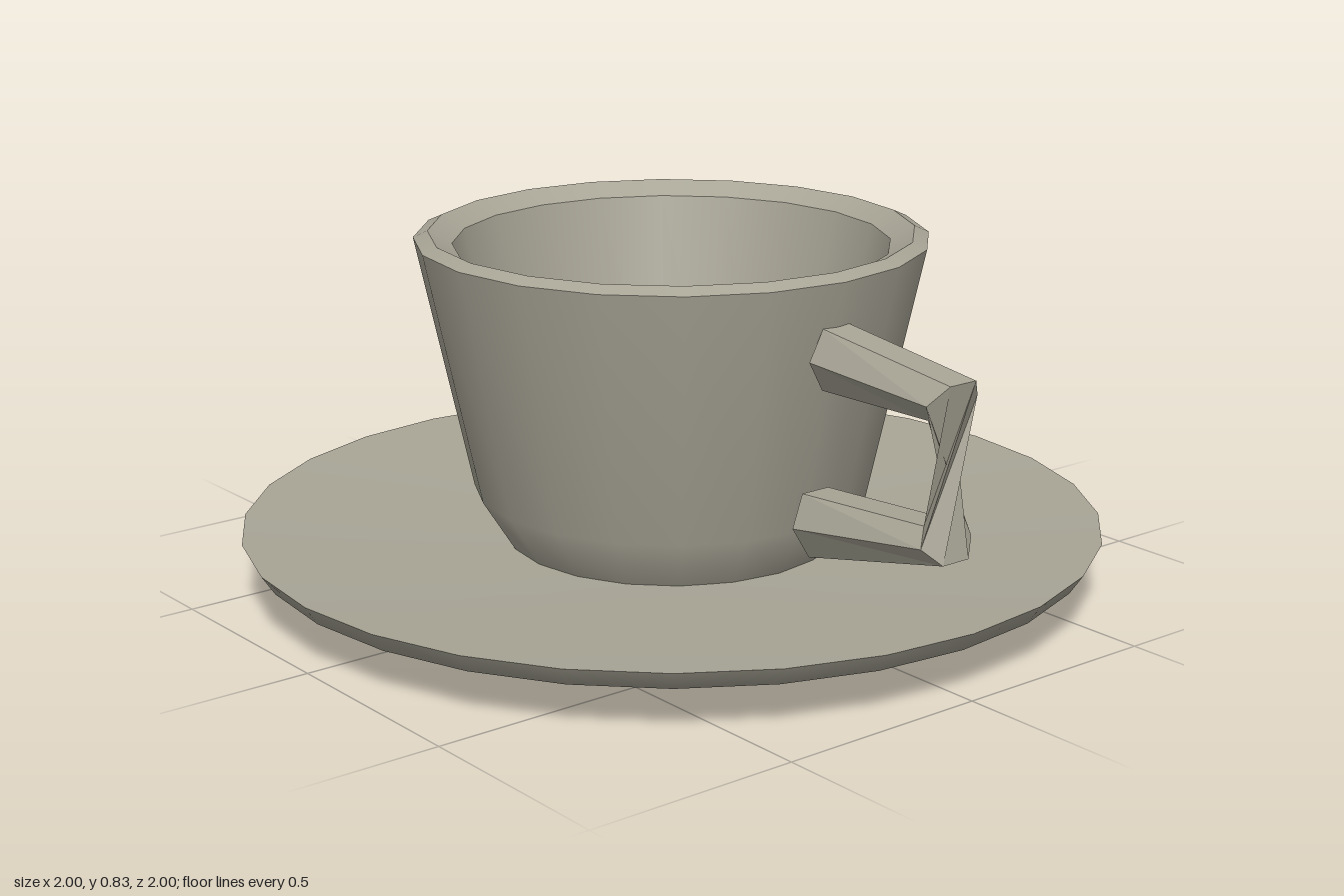
import * as THREE from 'three';

const ceramic = new THREE.MeshStandardMaterial({ color: 0xa8a596 });
ceramic.name = 'warm grey ceramic';

// One smooth lathe per profile piece, so edges between pieces stay sharp
function turned(name, segments, profiles) {
  const group = new THREE.Group();
  group.name = name;
  for (const [part, points] of Object.entries(profiles)) {
    const pts = points.map(([r, y]) => new THREE.Vector2(r, y));
    const mesh = new THREE.Mesh(new THREE.LatheGeometry(pts, segments), ceramic);
    mesh.name = part;
    group.add(mesh);
  }
  return group;
}

// Six-sided handle through four rings, twisted by 120 degrees in the upright
function handleGeometry() {
  const sides = 6;
  // centre x, y; outward direction x, y scaled to half height; half width; twist
  const rings = [
    [0.56, 0.65, 0, 0.068, 0.075, 0],
    [0.915, 0.633, 0.031, 0.043, 0.073, 0],
    [0.91, 0.325, 0.03, -0.036, 0.073, 2],
    [0.513, 0.265, 0.012, -0.07, 0.075, 2],
  ];
  const point = (i, k) => {
    const [x, y, ox, oy, w, twist] = rings[i];
    const a = ((k + twist + 0.5) / sides) * Math.PI * 2;
    const c = Math.cos(a) / Math.cos(Math.PI / sides);
    return [x + ox * c, y + oy * c, w * Math.sin(a)];
  };
  const centre = (i) => [rings[i][0], rings[i][1], 0];
  const out = [];
  const last = rings.length - 1;
  for (let k = 0; k < sides; k++) {
    for (let i = 0; i < last; i++) {
      const a = point(i, k), b = point(i, k + 1);
      const c = point(i + 1, k + 1), d = point(i + 1, k);
      out.push(...a, ...b, ...c, ...a, ...c, ...d);
    }
    // End caps
    out.push(...centre(0), ...point(0, k + 1), ...point(0, k));
    out.push(...centre(last), ...point(last, k), ...point(last, k + 1));
  }
  const geo = new THREE.BufferGeometry();
  geo.setAttribute('position', new THREE.Float32BufferAttribute(out, 3));
  geo.computeVertexNormals();
  return geo;
}

export function createModel() {
  const model = new THREE.Group();
  model.name = 'cupAndSaucer';

  // Shallow dish under the cup
  model.add(turned('saucer', 28, {
    saucerUnderside: [[0, 0], [0.64, 0], [0.97, 0.105], [1, 0.15]],
    saucerTop: [[1, 0.15], [0.38, 0.11], [0, 0.11]],
  }));

  // Tapered cup with a bevelled rim and a flat floor inside
  model.add(turned('cup', 20, {
    cupOutside: [[0.385, 0.11], [0.46, 0.23], [0.588, 0.82]],
    rimBevel: [[0.588, 0.82], [0.555, 0.835]],
    rimInside: [[0.555, 0.835], [0.5, 0.805]],
    cupInside: [[0.5, 0.805], [0.38, 0.23]],
    cupFloor: [[0.38, 0.23], [0, 0.23]],
  }));

  const handle = new THREE.Mesh(handleGeometry(), ceramic);
  handle.name = 'handle';
  model.add(handle);
  return model;
}
